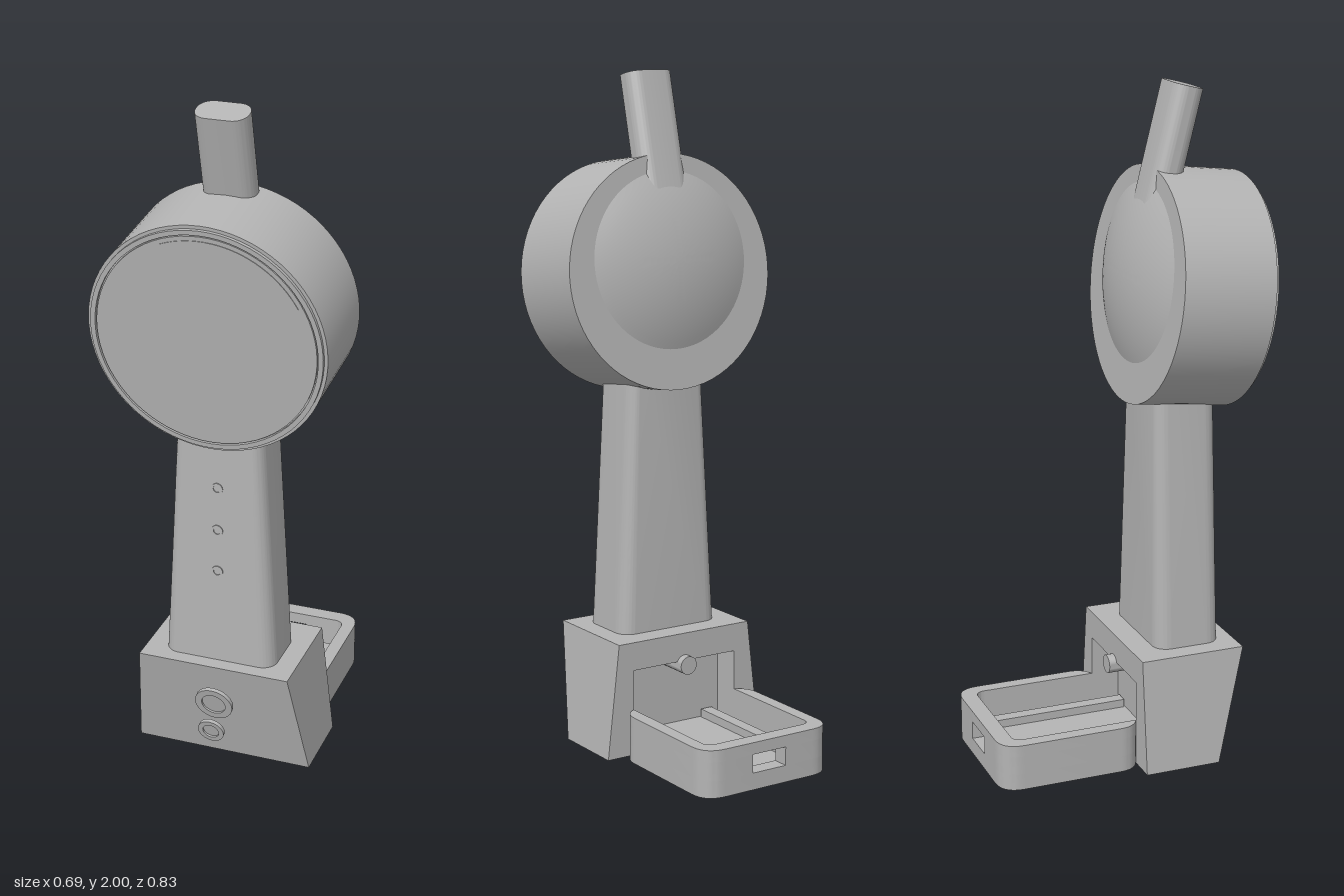
import * as THREE from 'three';
import { toCreasedNormals } from 'three/addons/utils/BufferGeometryUtils.js';

const grey = new THREE.MeshStandardMaterial({ color: 0xb4b4b4 });
grey.name = 'plain grey';

function add(parent, name, geometry, x = 0, y = 0, z = 0) {
  const mesh = new THREE.Mesh(toCreasedNormals(geometry, 0.6), grey);
  mesh.name = name;
  mesh.position.set(x, y, z);
  parent.add(mesh);
  return mesh;
}

const V = (x, y) => new THREE.Vector2(x, y);
const extrude = (shape, depth) =>
  new THREE.ExtrudeGeometry(shape, { depth, bevelEnabled: false, curveSegments: 12 });
const upright = (shape, height) => extrude(shape, height).rotateX(-Math.PI / 2);
const lathe = (points) => new THREE.LatheGeometry(points, 72).rotateX(Math.PI / 2);

function roundedRect(w, d, r) {
  const s = new THREE.Shape(), x = w / 2 - r, y = d / 2 - r;
  s.absarc(x, y, r, 0, Math.PI / 2);
  s.absarc(-x, y, r, Math.PI / 2, Math.PI);
  s.absarc(-x, -y, r, Math.PI, Math.PI * 1.5);
  s.absarc(x, -y, r, Math.PI * 1.5, Math.PI * 2);
  return s;
}

function ring(outer, inner, depth) {
  const s = new THREE.Shape().absarc(0, 0, outer, 0, Math.PI * 2);
  s.holes.push(new THREE.Path().absarc(0, 0, inner, 0, Math.PI * 2, true));
  return extrude(s, depth);
}

function moveVertices(geometry, rule) {
  const p = geometry.attributes.position, v = new THREE.Vector3();
  for (let i = 0; i < p.count; i++) {
    rule(v.fromBufferAttribute(p, i));
    p.setXYZ(i, v.x, v.y, v.z);
  }
  geometry.computeVertexNormals();
  return geometry;
}

function makeBase() {
  const base = new THREE.Group();
  base.name = 'base';
  // Solid front block, its face leaning forward towards the top
  const block = new THREE.Shape([V(-0.27, 0), V(0.27, 0), V(0.23, 0.345), V(-0.23, 0.345)]);
  add(base, 'baseFrontBlock', moveVertices(extrude(block, 1), (v) => {
    v.z = v.z > 0.5 ? 0.245 + (0.09 * v.y) / 0.345 : 0.1;
  }));
  // Rear arch with the opening for the tray
  const arch = new THREE.Shape([
    V(-0.27, 0), V(-0.18, 0), V(-0.18, 0.26), V(0.18, 0.26),
    V(0.18, 0), V(0.27, 0), V(0.23, 0.345), V(-0.23, 0.345),
  ]);
  add(base, 'baseRearArch', extrude(arch, 0.087), 0, 0, 0.013);
  const peg = new THREE.CylinderGeometry(0.028, 0.028, 0.12, 24).rotateX(Math.PI / 2);
  add(base, 'rearPeg', peg, 0, 0.25, 0.05);
  // Round control rings standing off the sloped face
  for (const [r, hole, y, z] of [[0.058, 0.037, 0.217, 0.318], [0.04, 0.025, 0.138, 0.342]]) {
    const control = new THREE.Group();
    control.name = 'controlRing';
    add(control, 'ringRim', ring(r, hole, 0.012));
    add(control, 'ringCentre', new THREE.CylinderGeometry(hole, hole, 0.006, 32).rotateX(Math.PI / 2), 0, 0, 0.003);
    control.position.set(0, y, z);
    control.rotation.x = 0.27;
    base.add(control);
  }
  for (const s of [-1, 1]) {
    add(base, 'footPad', new THREE.CylinderGeometry(0.04, 0.04, 0.006, 32), s * 0.1, 0.002, 0.165);
  }
  return base;
}

function makeTray() {
  const tray = new THREE.Group();
  tray.name = 'tray';
  // Half of the U-shaped wall, stopping short of the middle by the gap
  const halfWall = (s, gap) => {
    const w = new THREE.Shape();
    w.moveTo(s * gap, 0.42);
    w.lineTo(s * 0.15, 0.42);
    w.quadraticCurveTo(s * 0.22, 0.42, s * 0.22, 0.35);
    w.lineTo(s * 0.22, 0.05);
    w.quadraticCurveTo(s * 0.22, 0.005, s * 0.18, -0.013);
    w.lineTo(s * 0.18, 0.34);
    w.quadraticCurveTo(s * 0.18, 0.37, s * 0.15, 0.37);
    w.lineTo(s * gap, 0.37);
    w.closePath();
    return w;
  };
  // Three layers, the middle one leaving the rear port open
  for (const s of [-1, 1]) {
    for (const [y, h, gap] of [[0, 0.05, 0], [0.05, 0.055, 0.057], [0.105, 0.035, 0]]) {
      add(tray, 'trayWall', upright(halfWall(s, gap), h), 0, y, 0);
    }
    add(tray, 'trayRib', new THREE.BoxGeometry(0.038, 0.03, 0.44), s * 0.134, 0.05, -0.125);
  }
  add(tray, 'trayFloor', upright(roundedRect(0.354, 0.466, 0.03), 0.036), 0, 0.004, -0.134);
  return tray;
}

function makeNeck() {
  const neck = new THREE.Group();
  neck.name = 'neck';
  const height = 0.81;
  add(neck, 'neckColumn', moveVertices(upright(roundedRect(0.34, 0.205, 0.045), height), (v) => {
    const t = v.y / height;
    v.x *= 1 - 0.26 * t;
    v.z *= 1 - 0.09 * t;
  }), 0, 0.34, 0.188);
  for (const y of [0.64, 0.772, 0.905]) {
    const z = 0.188 + 0.1025 * (1 - (0.09 * (y - 0.34)) / height);
    add(neck, 'neckStud', ring(0.017, 0.011, 0.006), 0, y, z - 0.003);
  }
  return neck;
}

function makeHead() {
  const head = new THREE.Group();
  head.name = 'head';
  // Drum with a stepped front rim around a slightly sunken face
  add(head, 'drum', lathe([
    V(0, 0), V(0.345, 0), V(0.345, 0.28), V(0.335, 0.28),
    V(0.335, 0.29), V(0.321, 0.29), V(0.321, 0.28), V(0, 0.28),
  ]));
  add(head, 'facePlate', new THREE.CylinderGeometry(0.317, 0.317, 0.012, 72).rotateX(Math.PI / 2), 0, 0, 0.282);
  // Thin arc on the face
  const arc = new THREE.Shape();
  arc.absarc(0, 0, 0.304, 0.48, 1.95);
  arc.absarc(0, 0, 0.299, 1.95, 0.48, true);
  add(head, 'faceArc', extrude(arc, 0.003), 0, 0, 0.287);
  // Shallow rear dome
  const a = 0.26, h = 0.052, R = (a * a + h * h) / (2 * h), sweep = Math.asin(a / R);
  const dome = [];
  for (let i = 0; i <= 12; i++) {
    const t = (sweep * i) / 12;
    dome.push(V(R * Math.sin(t), R - h - R * Math.cos(t)));
  }
  add(head, 'rearDome', lathe(dome), 0, 0.035, 0);
  head.position.set(0, 1.42, 0.08);
  head.rotation.x = 0.119;
  return head;
}

export function createModel() {
  const model = new THREE.Group();
  model.name = 'stand';
  model.add(makeBase(), makeTray(), makeNeck(), makeHead());
  // Leaning grip on top of the head
  const grip = add(model, 'topGrip', upright(roundedRect(0.152, 0.093, 0.042), 0.36).translate(0, -0.36, 0), 0, 1.989, 0.22);
  grip.rotation.x = 0.245;
  return model;
}
